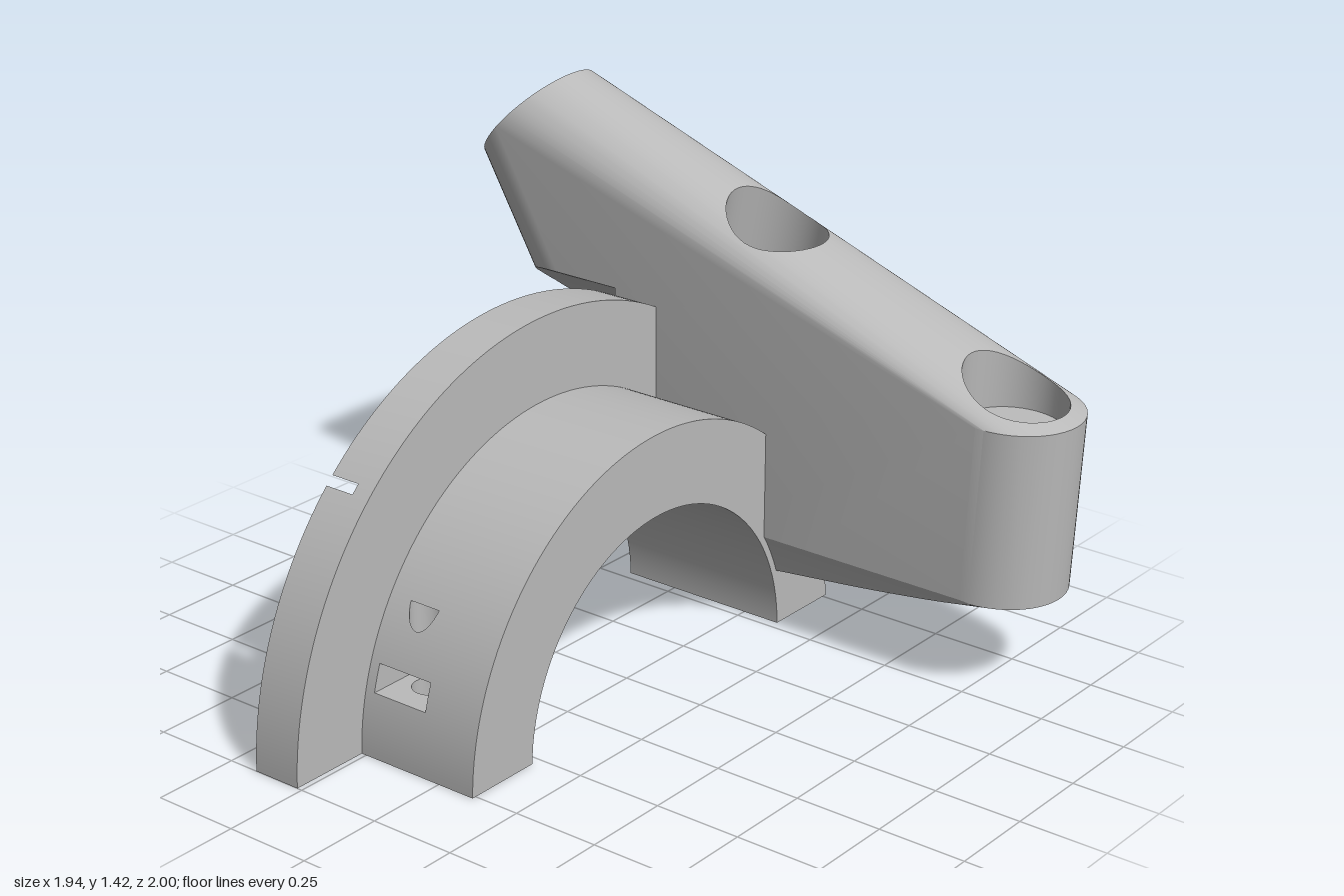
import * as THREE from 'three';
import { toCreasedNormals } from 'three/addons/utils/BufferGeometryUtils.js';
import { ConvexGeometry } from 'three/addons/geometries/ConvexGeometry.js';

const V = (x, y, z) => new THREE.Vector3(x, y, z);
const AXIS_Y = -0.013; // height of the ring axis
const ARM_Z = -0.65;   // middle plane of the arm
const ARM_R = 0.19;
const EPS = 1e-6;

// ---- carving: convex solid minus convex cutters ----

// Triangles and face planes of a convex geometry
function convex(geometry) {
  const g = geometry.index ? geometry.toNonIndexed() : geometry;
  const pos = g.attributes.position, nor = g.attributes.normal;
  const polys = [], planes = new Map();
  for (let i = 0; i < pos.count; i += 3) {
    const poly = [0, 1, 2].map(k => ({
      p: V().fromBufferAttribute(pos, i + k),
      n: V().fromBufferAttribute(nor, i + k),
    }));
    const [a, b, c] = poly.map(v => v.p);
    const n = b.clone().sub(a).cross(c.clone().sub(a));
    if (n.length() < 1e-8) continue;
    n.normalize();
    const key = [n.x, n.y, n.z, n.dot(a)].map(v => Math.round(v * 2e3)).join();
    if (!planes.has(key)) planes.set(key, { n, w: n.dot(a) });
    polys.push(poly);
  }
  return { polys, planes: [...planes.values()] };
}

// Cut a polygon by a plane into its outer and inner part
function split(poly, plane) {
  const out = [], inn = [];
  const d = poly.map(v => {
    const s = plane.n.dot(v.p) - plane.w;
    return Math.abs(s) < EPS ? 0 : s;
  });
  if (d.every(s => s <= 0)) return [null, poly];
  if (d.every(s => s >= 0)) return [poly, null];
  poly.forEach((v, i) => {
    const j = (i + 1) % poly.length;
    if (d[i] >= 0) out.push(v);
    if (d[i] <= 0) inn.push(v);
    if (d[i] * d[j] < 0) {
      const t = d[i] / (d[i] - d[j]);
      const mid = { p: v.p.clone().lerp(poly[j].p, t), n: v.n.clone().lerp(poly[j].n, t) };
      out.push(mid);
      inn.push(mid);
    }
  });
  return [out, inn];
}

// Parts of a polygon outside and inside a convex solid
function clip(poly, planes) {
  const outside = [];
  let rest = poly;
  for (const plane of planes) {
    const [out, inn] = split(rest, plane);
    if (out) outside.push(out);
    rest = inn;
    if (!rest) return { outside: [poly], inside: null };
  }
  return { outside, inside: rest };
}

function carve(geometry, cutterGeometries) {
  const solid = convex(geometry), cutters = cutterGeometries.map(convex);
  const result = [];
  const keepOutside = (polys, skip) => {
    for (const c of cutters) {
      if (c !== skip) polys = polys.flatMap(p => clip(p, c.planes).outside);
    }
    result.push(...polys);
  };
  keepOutside(solid.polys, null);
  for (const c of cutters) {
    const walls = c.polys.map(p => clip(p, solid.planes).inside).filter(Boolean);
    keepOutside(walls.map(p => p.map(v => ({ p: v.p, n: v.n.clone().negate() })).reverse()), c);
  }
  const pos = [], nor = [];
  for (const poly of result) {
    for (let i = 2; i < poly.length; i++) {
      for (const v of [poly[0], poly[i - 1], poly[i]]) {
        pos.push(v.p.x, v.p.y, v.p.z);
        const n = v.n.clone().normalize();
        nor.push(n.x, n.y, n.z);
      }
    }
  }
  const g = new THREE.BufferGeometry();
  g.setAttribute('position', new THREE.Float32BufferAttribute(pos, 3));
  g.setAttribute('normal', new THREE.Float32BufferAttribute(nor, 3));
  return g;
}

// ---- shapes ----

// Cylinder between two points
function rod(a, b, r, sides = 48) {
  const dir = b.clone().sub(a);
  const g = new THREE.CylinderGeometry(r, r, dir.length(), sides);
  g.applyQuaternion(new THREE.Quaternion().setFromUnitVectors(V(0, 1, 0), dir.normalize()));
  const mid = a.clone().add(b).multiplyScalar(0.5);
  return g.translate(mid.x, mid.y, mid.z);
}

// Cylinder along the ring axis
const axial = (x0, x1, r) => rod(V(x0, AXIS_Y, 0), V(x1, AXIS_Y, 0), r, 96);

// Half disc standing on the ground, thick along x
function halfDisc(x0, x1, r) {
  const a = Math.asin(-AXIS_Y / r);
  const shape = new THREE.Shape().absarc(0, AXIS_Y, r, a, Math.PI - a, false);
  const g = new THREE.ExtrudeGeometry(shape, { depth: x1 - x0, bevelEnabled: false, curveSegments: 64 });
  return toCreasedNormals(g.rotateY(Math.PI / 2).translate(x0, 0, 0), 0.4);
}

// Circle of points across the arm, tilted in the xy plane
function disc(x, y, tilt) {
  return Array.from({ length: 48 }, (_, i) => {
    const a = i / 48 * Math.PI * 2, c = ARM_R * Math.cos(a);
    return V(x + c * Math.cos(tilt), y + c * Math.sin(tilt), ARM_Z + ARM_R * Math.sin(a));
  });
}

export function createModel() {
  const group = new THREE.Group();
  const grey = new THREE.MeshStandardMaterial({ color: 0xbababa });
  grey.name = 'plain grey';
  const add = (name, geometry) => {
    const mesh = new THREE.Mesh(geometry, grey);
    mesh.name = name;
    group.add(mesh);
  };

  // Clamp screw holes and nut slots at both feet of the ring
  const screwHoles = [1, -1].map(s => rod(V(-0.148, -0.1, s * 0.62), V(-0.148, 0.41, s * 0.62), 0.05, 32));
  const nutSlots = [1, -1].map(s => new THREE.BoxGeometry(0.175, 0.075, 0.4).translate(-0.148, 0.213, s * 0.74));
  // Access bore through the arm down to the rear clamp screw
  const middleBore = rod(V(0.044, 1.35, ARM_Z), V(-0.13, 0.41, ARM_Z), 0.145);

  // Half ring and its wider flange
  add('clampRing', carve(halfDisc(-0.265, 0.115, 0.762),
    [axial(-2, 2, 0.53), ...screwHoles, ...nutSlots, middleBore]));
  const flangeSockets = [1, -1].map(s => rod(V(-0.6, 0.65, s * 0.64), V(-0.32, 0.65, s * 0.64), 0.08, 32));
  add('clampFlange', carve(halfDisc(-0.41, -0.265, 1), [axial(-2, 2, 0.53), ...flangeSockets]));

  // Slanted arm: hull of its three rounded corners and the low bend
  const hull = new ConvexGeometry([
    ...disc(-0.84, 1.28, 0.82),
    ...disc(0.78, 0.785, -0.05),
    ...disc(0.755, 0.285, -0.05),
    ...disc(-0.21, 0.183, 0),
    V(0.115, 0.165, ARM_Z + ARM_R), V(0.115, 0.165, ARM_Z - ARM_R),
  ]);
  const leftBore = rod(V(-1.06, 1.485, ARM_Z), V(-0.55, 1.01, ARM_Z), 0.14);
  const rightBore = rod(V(0.795, 1.1, ARM_Z), V(0.776, 0.72, ARM_Z), 0.145);
  add('arm', carve(toCreasedNormals(hull, 0.25), [
    axial(-2, 2, 0.55), axial(-2, -0.41, 1.02),
    middleBore, leftBore, rightBore, screwHoles[1], nutSlots[1],
  ]));

  return group;
}
